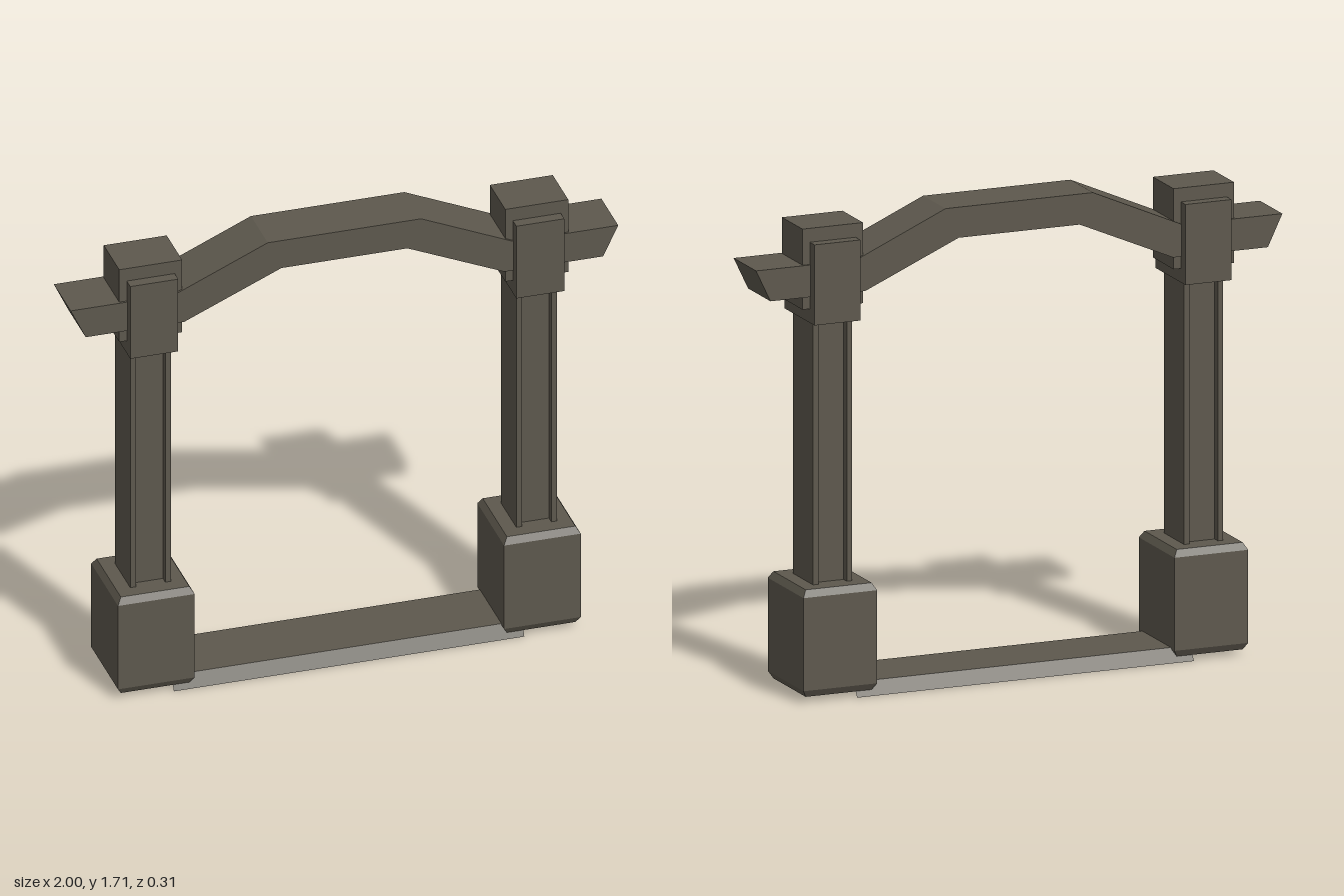
import * as THREE from 'three';

const stone = new THREE.MeshStandardMaterial({ color: 0x5d584d });
stone.name = 'weathered stone';

function add(parent, name, geometry, x = 0, y = 0, z = 0) {
  const mesh = new THREE.Mesh(geometry, stone);
  mesh.name = name;
  mesh.position.set(x, y, z);
  parent.add(mesh);
  return mesh;
}

const box = (w, h, d) => new THREE.BoxGeometry(w, h, d);

// Closed shape from a list of [x, y] points
const polygon = (points) => new THREE.Shape(points.map(([x, y]) => new THREE.Vector2(x, y)));

// Block with bevelled top and bottom rims, standing on y = 0
function bevelledBlock(w, h, d, inset, rise) {
  const a = w / 2 - inset, b = d / 2 - inset;
  const geometry = new THREE.ExtrudeGeometry(polygon([[-a, -b], [a, -b], [a, b], [-a, b]]), {
    depth: h - 2 * rise, bevelEnabled: true, bevelSegments: 1, bevelSize: inset, bevelThickness: rise,
  });
  return geometry.rotateX(-Math.PI / 2).translate(0, rise, 0);
}

// Low strip with sloping long sides and open ends
function sillGeometry(length, height, bottomDepth, topDepth) {
  const geometry = box(length, height, bottomDepth);
  const p = geometry.attributes.position;
  for (let i = 0; i < p.count; i++) {
    if (p.getY(i) > 0) p.setZ(i, Math.sign(p.getZ(i)) * topDepth / 2);
  }
  geometry.setIndex(Array.from(geometry.index.array).slice(12));
  geometry.clearGroups();
  const flat = geometry.toNonIndexed();
  flat.computeVertexNormals();
  return flat;
}

function pillar(side) {
  const group = new THREE.Group();
  group.name = side > 0 ? 'leftPillar' : 'rightPillar';
  group.position.x = side * 0.705;

  add(group, 'base', bevelledBlock(0.28, 0.385, 0.312, 0.015, 0.025), 0, 0.02);

  // Shaft: a recessed web between two side rails
  const bottom = 0.38, top = 1.42, middle = (bottom + top) / 2;
  add(group, 'shaftWeb', box(0.12, top - bottom, 0.12), 0, middle);
  for (const s of [-1, 1]) {
    add(group, 'shaftRail', box(0.02, top - bottom, 0.176), s * 0.064, middle);
  }

  // Capital: two crossing blocks
  add(group, 'capitalBlock', box(0.23, 0.29, 0.18), 0, 1.545);
  add(group, 'capitalClamp', box(0.175, 0.29, 0.262), 0, 1.495);
  return group;
}

export function createModel() {
  const model = new THREE.Group();
  model.name = 'gateway';

  for (const side of [-1, 1]) model.add(pillar(side));

  // Raised lintel with slanted ends
  const half = [[0.23, 1.6], [0.585, 1.445], [0.945, 1.445], [1, 1.56], [0.62, 1.56], [0.28, 1.71]];
  const mirrored = half.map(([x, y]) => [-x, y]).reverse();
  const lintel = new THREE.ExtrudeGeometry(polygon([...half, ...mirrored]), { depth: 0.196, bevelEnabled: false });
  add(model, 'lintel', lintel.translate(0, 0, -0.098));

  add(model, 'sill', sillGeometry(1.28, 0.05, 0.305, 0.25), 0, 0.025);

  return model;
}
